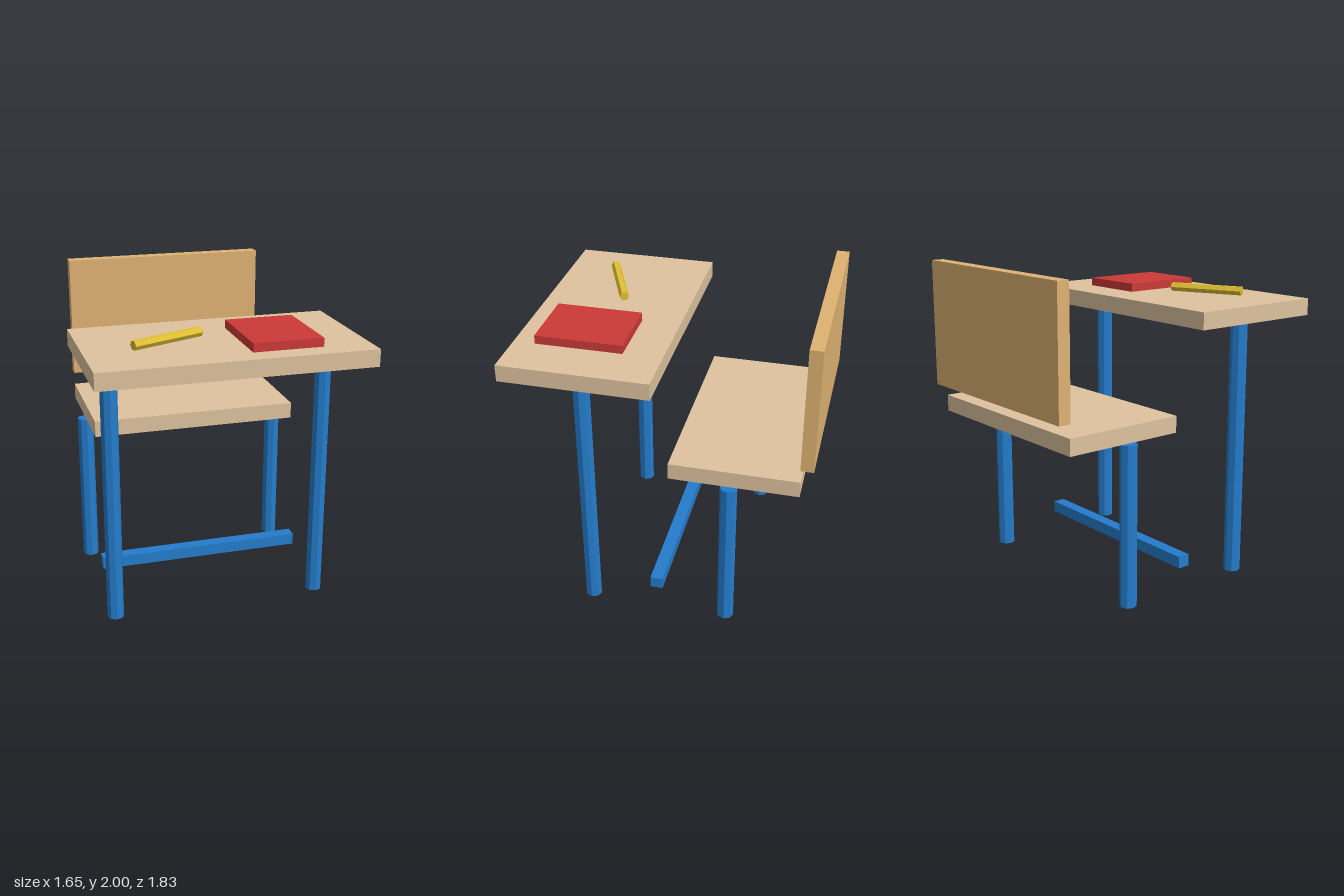
import * as THREE from 'three';

const material = (color) => {
  const m = new THREE.MeshStandardMaterial({ flatShading: true });
  m.color.set(color);
  return m;
};

export function createModel() {
  const model = new THREE.Group();
  model.name = 'schoolDesk';

  const paleWood = material(0xdec39e);
  const warmWood = material(0xdeb272);
  const blue = material(0x247ccc);
  const red = material(0xcc3a38);
  const yellow = material(0xe0c033);

  const add = (name, geometry, mat, x, y, z) => {
    const mesh = new THREE.Mesh(geometry, mat);
    mesh.name = name;
    mesh.position.set(x, y, z);
    model.add(mesh);
    return mesh;
  };
  const box = (name, mat, [w, h, d], [x, y, z]) =>
    add(name, new THREE.BoxGeometry(w, h, d), mat, x, y, z);

  // Desk top, seat and backrest
  box('deskTop', paleWood, [1.65, 0.105, 0.907], [0, 1.708, 0.46]);
  box('seat', paleWood, [1.333, 0.105, 0.795], [0, 1.07, -0.447]);
  box('backrest', warmWood, [1.333, 0.795, 0.08], [0, 1.6025, -0.877]);

  // Octagonal legs under the desk and the seat
  const leg = (name, height, x, z) =>
    add(name, new THREE.CylinderGeometry(0.053, 0.053, height, 8), blue, x, height / 2, z);
  for (const [side, x] of [['left', 0.667], ['right', -0.667]]) {
    leg(side + 'DeskLeg', 1.655, x, 0.463);
    leg(side + 'SeatLeg', 1.017, x, -0.422);
  }

  // Footrest bar
  box('footrestBar', blue, [1.333, 0.076, 0.08], [0, 0.163, 0.034]);

  // Book and hexagonal pencil lying on the desk
  box('book', red, [0.427, 0.053, 0.535], [0.319, 1.787, 0.513]);
  const pencil = add('pencil', new THREE.CylinderGeometry(0.03, 0.03, 0.48, 6), yellow, -0.323, 1.803, 0.512);
  pencil.rotation.set(0, 0.4, Math.PI / 2);

  return model;
}
